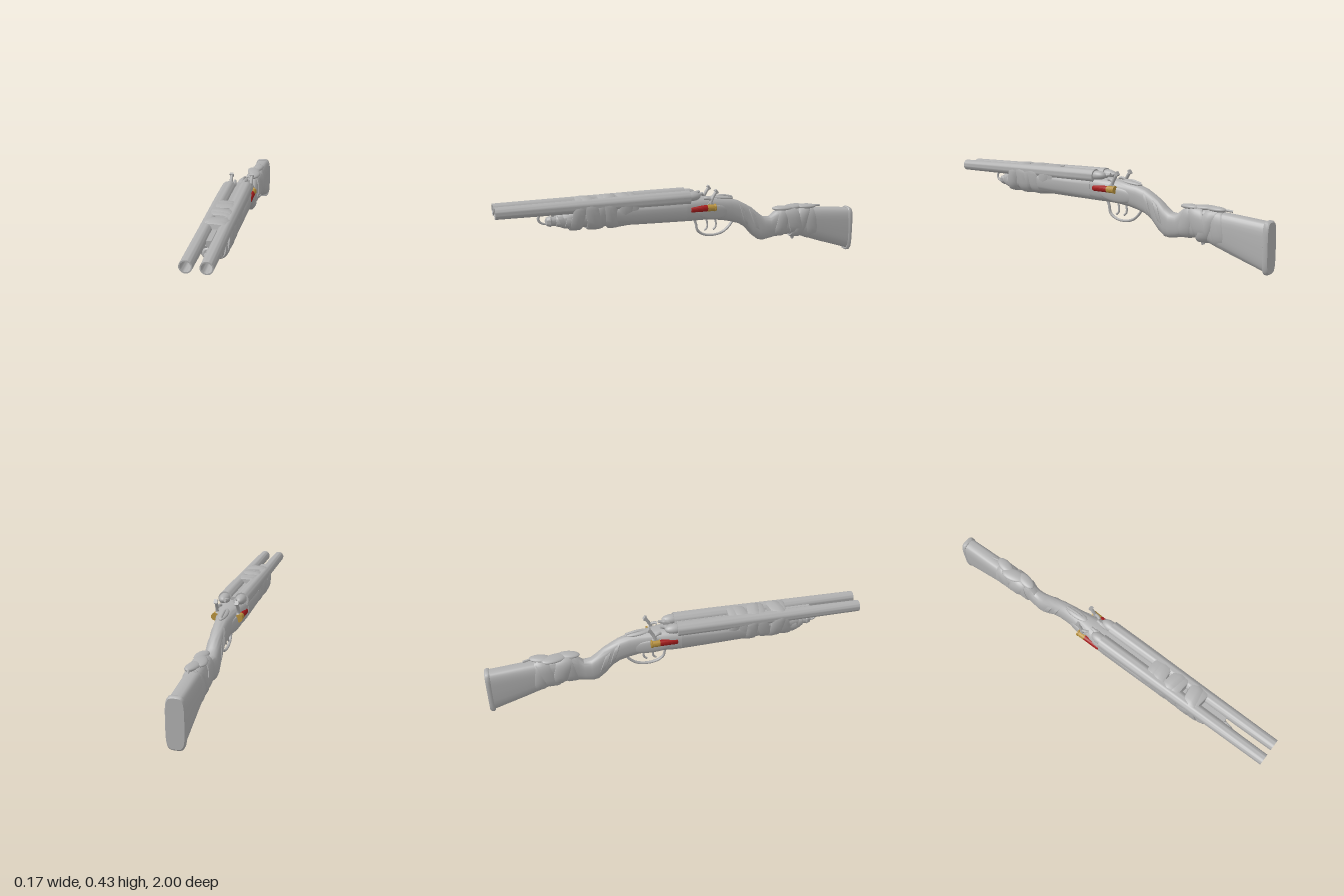
import * as THREE from 'three';
import { toCreasedNormals } from 'three/addons/utils/BufferGeometryUtils.js';

const material = (name, color) => {
  const m = new THREE.MeshStandardMaterial({ color });
  m.name = name;
  return m;
};

// Skin of rounded cross-sections, listed front to back: [z, bottom, top, halfWidth, taper, squareness]
function loft(sections, { tilt = 0, yaw = 0, crease = 0.75, sides = 32 } = {}) {
  const pos = [], index = [];
  const bend = (v, e) => Math.sign(v) * Math.abs(v) ** e;
  for (const [z, y0, y1, w, taper = 0, n = 2.6] of sections) {
    for (let j = 0; j < sides; j++) {
      const a = (j / sides) * Math.PI * 2;
      const s = bend(Math.sin(a), 2 / n);
      const x = w * (1 + taper * s) * bend(Math.cos(a), 2 / n);
      const dy = s * (y1 - y0) / 2;
      pos.push(x, (y0 + y1) / 2 + dy, z + tilt * dy + yaw * x);
    }
  }
  const last = sections.length - 1;
  for (let i = 0; i < last; i++) {
    for (let j = 0; j < sides; j++) {
      const a = i * sides + j, b = i * sides + (j + 1) % sides;
      index.push(a, a + sides, b, b, a + sides, b + sides);
    }
  }
  for (const i of [0, last]) {
    const c = pos.length / 3, [z, y0, y1] = sections[i];
    pos.push(0, (y0 + y1) / 2, z);
    for (let j = 0; j < sides; j++) {
      const a = i * sides + j, b = i * sides + (j + 1) % sides;
      index.push(c, i ? b : a, i ? a : b);
    }
  }
  const g = new THREE.BufferGeometry();
  g.setAttribute('position', new THREE.Float32BufferAttribute(pos, 3));
  g.setIndex(index);
  return toCreasedNormals(g, crease);
}

// Turned part along z; points are [radius, z] from back to front
function turned(points, sides = 28) {
  const g = new THREE.LatheGeometry(points.map(([r, z]) => new THREE.Vector2(r, z)), sides);
  return toCreasedNormals(g.rotateX(Math.PI / 2), 0.6);
}

function tube(points, radius, steps = 24) {
  const path = new THREE.CatmullRomCurve3(points.map(p => new THREE.Vector3(...p)));
  return new THREE.TubeGeometry(path, steps, radius, 8);
}

export function createModel() {
  const model = new THREE.Group();
  model.name = 'doubleBarrelProp';
  const grey = material('bareGrey', 0xb0b0b0);
  const red = material('shellRed', 0xa51c1c);
  const brass = material('shellBrass', 0xb8923e);
  const add = (name, geometry, mat = grey, parent = model) => {
    const mesh = new THREE.Mesh(geometry, mat);
    mesh.name = name;
    parent.add(mesh);
    return mesh;
  };

  // Receiver, wrist and stock as one continuous body
  add('receiverAndStock', loft([
    [0.03, 0.262, 0.385, 0.075, 0.05, 3.2], [-0.03, 0.26, 0.388, 0.073, 0.03, 3],
    [-0.08, 0.258, 0.384, 0.064], [-0.14, 0.253, 0.378, 0.052], [-0.2, 0.245, 0.368, 0.045],
    [-0.25, 0.233, 0.36, 0.041], [-0.3, 0.217, 0.344, 0.038], [-0.34, 0.192, 0.322, 0.037],
    [-0.38, 0.145, 0.298, 0.038], [-0.42, 0.114, 0.264, 0.04], [-0.45, 0.11, 0.241, 0.04],
    [-0.49, 0.117, 0.237, 0.037], [-0.52, 0.122, 0.262, 0.036], [-0.55, 0.126, 0.28, 0.039],
    [-0.63, 0.13, 0.277, 0.046], [-0.7, 0.105, 0.271, 0.046, 0, 3], [-0.8, 0.07, 0.264, 0.046, 0, 3.2],
    [-0.975, 0.014, 0.248, 0.045, -0.04, 3.8],
  ]));
  add('buttPad', loft([
    [-0.974, 0.004, 0.251, 0.044, 0, 4], [-0.978, 0, 0.254, 0.047, 0, 4],
    [-0.992, 0, 0.253, 0.047, 0, 4], [-1, 0.008, 0.246, 0.042, 0, 4],
  ]));

  // Barrels with open muzzles, breech domes, hammers and loose shells on both sides
  for (const side of [1, -1]) {
    const label = side > 0 ? 'left' : 'right';
    add(label + 'Barrel', turned([
      [0, 0], [0.037, 0], [0.037, 0.2], [0.033, 0.6], [0.03, 1], [0.024, 1], [0.022, 0.99], [0.022, 0.9], [0, 0.9],
    ])).position.set(side * 0.045, 0.392, 0);

    const dome = add(label + 'BreechDome', new THREE.SphereGeometry(1, 20, 14));
    dome.scale.set(0.029, 0.025, 0.052);
    dome.position.set(side * 0.044, 0.397, -0.012);
    const pin = add(label + 'FiringPin', turned([[0, -0.03], [0.008, -0.03], [0.009, -0.01], [0.013, 0], [0.013, 0.03], [0, 0.03]], 12));
    pin.position.set(side * 0.025, 0.398, -0.055);
    pin.rotation.x = 0.25;

    const hammer = new THREE.Group();
    hammer.name = label + 'Hammer';
    model.add(hammer);
    add('hammerArm', tube([
      [side * 0.056, 0.335, -0.115], [side * 0.057, 0.365, -0.12], [side * 0.055, 0.39, -0.132], [side * 0.055, 0.418, -0.15],
    ], 0.009, 12), grey, hammer);
    const spur = add('hammerSpur', new THREE.BoxGeometry(0.02, 0.012, 0.022), grey, hammer);
    spur.position.set(side * 0.055, 0.416, -0.149);
    spur.rotation.x = -1;
    const pivot = add('hammerPivot', new THREE.CylinderGeometry(0.022, 0.024, 0.02, 16), grey, hammer);
    pivot.rotation.z = Math.PI / 2;
    pivot.position.set(side * 0.053, 0.335, -0.115);
    add('hammerNose', tube([
      [side * 0.056, 0.375, -0.122], [side * 0.052, 0.382, -0.1], [side * 0.044, 0.381, -0.085],
    ], 0.008, 8), grey, hammer);

    const shell = new THREE.Group();
    shell.name = label + 'Shell';
    shell.position.set(side * 0.064, 0.332, 0);
    model.add(shell);
    add('shellCase', turned([[0, -0.095], [0.017, -0.095], [0.017, -0.005], [0.014, 0], [0.009, -0.004], [0, -0.004]], 18), red, shell);
    add('shellHead', turned([[0, -0.142], [0.02, -0.142], [0.02, -0.135], [0.018, -0.133], [0.018, -0.094], [0, -0.094]], 18), brass, shell);

    // Raised side plates of the action
    const plate = add(label + 'SidePlate', new THREE.SphereGeometry(1, 20, 12));
    plate.scale.set(0.01, 0.038, 0.11);
    plate.position.set(side * 0.05, 0.305, -0.14);
    plate.rotation.set(-0.12, side * 0.17, 0);
  }

  // Rib between the barrels
  const rib = add('barrelRib', new THREE.BoxGeometry(0.024, 0.028, 0.74));
  rib.position.set(0, 0.388, 0.37);

  // Forend under the barrels
  add('forend', loft([
    [0.7, 0.293, 0.345, 0.034], [0.68, 0.287, 0.362, 0.048], [0.62, 0.282, 0.38, 0.066, 0.1],
    [0.4, 0.272, 0.39, 0.076, 0.08, 3], [0.2, 0.266, 0.39, 0.077, 0.07, 3], [0.02, 0.262, 0.388, 0.076, 0.05, 3.2],
  ]));

  // Overlapping cloth bands around barrels and forend: [z, width, size, tilt, yaw]
  const bands = [
    [0.585, 0.065, 0, -0.25, 0.12], [0.53, 0.075, 0.004, 0.2, -0.15], [0.47, 0.07, 0.001, -0.3, 0.1],
    [0.415, 0.07, 0.004, 0.12, 0.2], [0.36, 0.075, 0, -0.2, -0.1], [0.305, 0.06, -0.003, 0.1, 0.08],
  ];
  bands.forEach(([z, w, e, tilt, yaw], i) => add('forendWrap' + (i + 1), loft([
    [z + w / 2, 0.274 - e, 0.425, 0.073, 0.1, 3], [z + w * 0.38, 0.267 - e, 0.43 + e * 0.4, 0.077 + e * 0.5, 0.1, 3],
    [z, 0.265 - e, 0.431 + e * 0.4, 0.078 + e * 0.5, 0.1, 3],
    [z - w * 0.4, 0.267 - e, 0.429, 0.077 + e * 0.4, 0.1, 3], [z - w / 2, 0.272 - e, 0.425, 0.073, 0.1, 3],
  ], { tilt, yaw })));

  // Lower cloth turns at the forend tip
  [[0.665, 0.042, 0.054], [0.63, 0.05, 0.067]].forEach(([z, w, half], i) => add('tipWrap' + (i + 1), loft([
    [z + w / 2, 0.284, 0.36, half - 0.006], [z, 0.277, 0.366, half], [z - w / 2, 0.28, 0.366, half - 0.003],
  ], { tilt: i ? -0.25 : 0.3 })));

  // Forend nose cap and sling ring
  add('noseCap', turned([
    [0, -0.06], [0.03, -0.06], [0.031, -0.025], [0.025, -0.02], [0.024, 0.005], [0.028, 0.012], [0.022, 0.03], [0.012, 0.036], [0, 0.036],
  ], 20)).position.set(0, 0.318, 0.715);
  const ring = add('slingRing', new THREE.TorusGeometry(0.029, 0.0055, 8, 24));
  ring.rotation.y = Math.PI / 2;
  ring.scale.x = 1.3;
  ring.position.set(0, 0.336, 0.748);

  // Top lever on the tang
  const lever = add('topLever', new THREE.SphereGeometry(1, 20, 12));
  lever.scale.set(0.024, 0.012, 0.07);
  lever.position.set(0, 0.368, -0.2);
  lever.rotation.x = -0.12;
  add('leverThumb', tube([[0, 0.374, -0.15], [0, 0.379, -0.2], [0, 0.372, -0.24], [0, 0.366, -0.262]], 0.008, 14));

  // Trigger guard strap and two triggers
  const guard = add('triggerGuard', tube([
    [0, 0.262, -0.045], [0, 0.235, -0.055], [0, 0.2, -0.063], [0, 0.174, -0.095], [0, 0.164, -0.15],
    [0, 0.174, -0.205], [0, 0.198, -0.24], [0, 0.228, -0.265],
  ], 0.007, 36));
  guard.scale.x = 1.2;
  for (const z of [-0.115, -0.165]) {
    add('trigger', tube([[0, 0.255, z], [0, 0.225, z - 0.006], [0, 0.205, z - 0.002], [0, 0.194, z + 0.012]], 0.0055, 12));
  }

  // Cloth bands on the wrist and stock: [z, bottom, top, halfWidth, width, tilt, yaw]
  const stockBands = [
    [-0.325, 0.2, 0.335, 0.041, 0.035, 0.3, 0.1], [-0.385, 0.15, 0.3, 0.042, 0.04, 0.35, -0.1],
    [-0.565, 0.123, 0.286, 0.046, 0.07, -0.25, 0.2], [-0.62, 0.124, 0.286, 0.055, 0.08, 0.3, -0.2],
    [-0.675, 0.11, 0.281, 0.053, 0.07, -0.35, 0.15], [-0.725, 0.096, 0.277, 0.051, 0.07, 0.15, -0.15],
  ];
  stockBands.forEach(([z, y0, y1, half, w, tilt, yaw], i) => {
    const slope = i < 2 ? 0.8 : 0;
    add('stockWrap' + (i + 1), loft([-0.5, -0.3, 0, 0.35, 0.5].map(t => {
      const inset = Math.abs(t) === 0.5 ? 0.006 : 0;
      const drop = slope * t * w;
      return [z - t * w, y0 + inset - drop, y1 - inset - drop, half - inset];
    }), { tilt, yaw }));
  });

  // Folded cloth along the comb, with a loose end and a knot below
  [[-0.565, 0.03, 0.06], [-0.64, 0.036, 0.07], [-0.71, 0.03, 0.06]].forEach(([z, w, l], i) => {
    const fold = add('combFold', new THREE.SphereGeometry(1, 16, 10));
    fold.scale.set(w, 0.014, l);
    fold.position.set(i % 2 ? -0.008 : 0.008, 0.28, z);
    fold.rotation.y = i % 2 ? 0.25 : -0.2;
  });
  add('looseEnd', tube([[0.006, 0.28, -0.7], [0.012, 0.281, -0.75], [0.004, 0.277, -0.8]], 0.006, 10));
  add('clothKnot', tube([[0, 0.135, -0.62], [0.004, 0.115, -0.633], [0, 0.1, -0.637]], 0.009, 8));

  return model;
}
